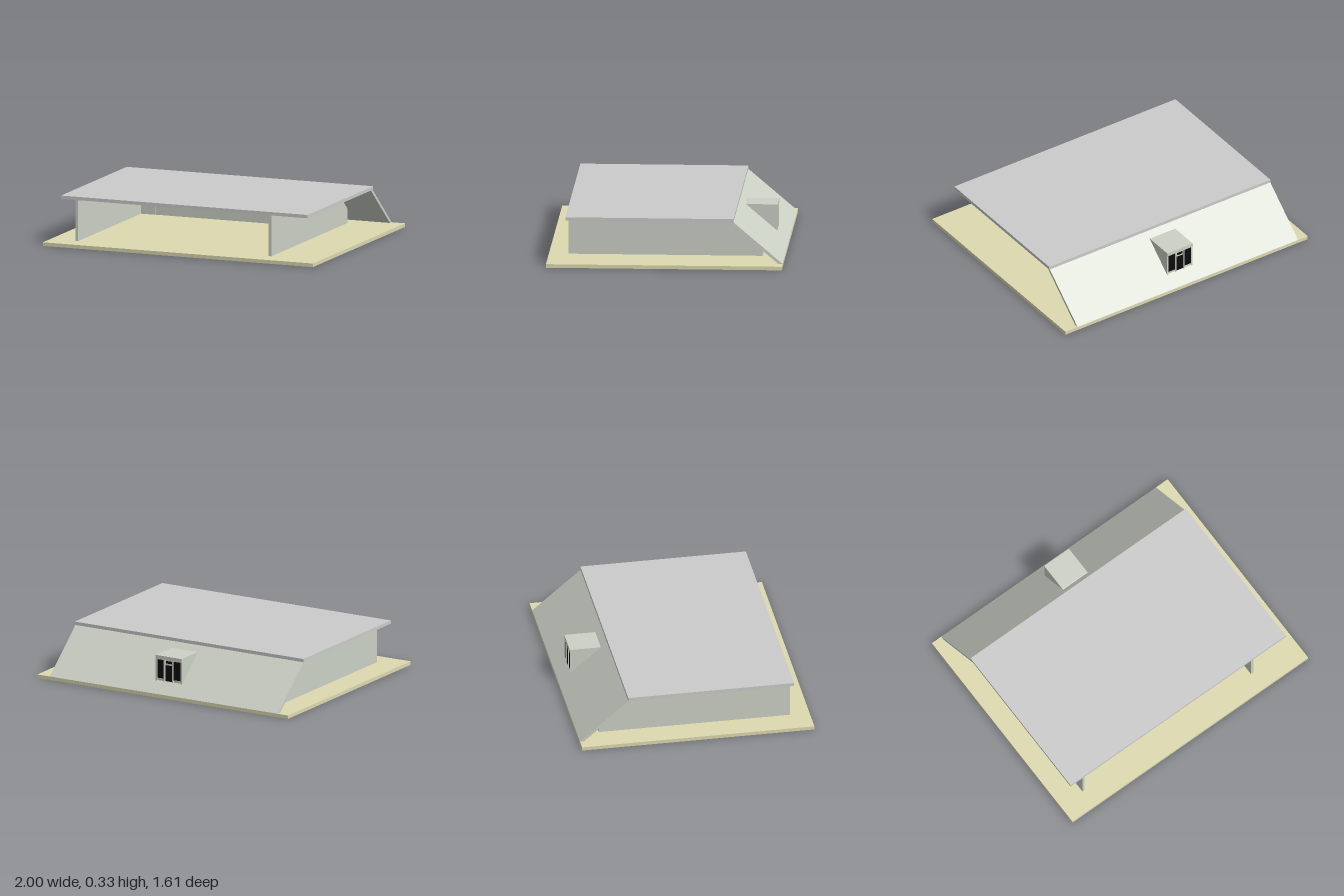
import * as THREE from 'three';

const mat = (color) => new THREE.MeshStandardMaterial({ color, flatShading: true });
const GREY = mat(0xcccccc);
const WALL = mat(0xccd1c6);
const GROUND = mat(0xdedab0);
const GLASS = mat(0x0c0c0c);

const FLOOR = 0.025, CEILING = 0.31;
// Height of the sloped slab's underside at depth z
const under = (z) => CEILING + 0.85 * (z + 0.44);

export function createModel() {
  const model = new THREE.Group();

  const add = (name, geometry, material) => {
    const mesh = new THREE.Mesh(geometry, material);
    mesh.name = name;
    model.add(mesh);
    return mesh;
  };

  // Box given by its extents
  const box = (name, material, x0, x1, y0, y1, z0, z1) =>
    add(name, new THREE.BoxGeometry(x1 - x0, y1 - y0, z1 - z0), material)
      .position.set((x0 + x1) / 2, (y0 + y1) / 2, (z0 + z1) / 2);

  // Side profile of [z, y] points, extruded from x0 to x1
  const prism = (name, material, x0, x1, profile) => {
    const shape = new THREE.Shape(profile.map(([z, y]) => new THREE.Vector2(-z, y)));
    const geometry = new THREE.ExtrudeGeometry(shape, { depth: x1 - x0, bevelEnabled: false });
    geometry.rotateY(Math.PI / 2).translate(x0, 0, 0);
    return add(name, geometry, material);
  };

  // Ground plate, flat roof and sloped rear slab
  box('groundPlate', GROUND, -1, 1, 0, FLOOR, -0.805, 0.805);
  box('flatRoof', GREY, -0.92, 0.905, CEILING, 0.333, -0.47, 0.677);
  prism('rearSlope', WALL, -0.92, 0.9, [
    [-0.44, CEILING], [-0.47, CEILING], [-0.805, FLOOR], [-0.775, FLOOR],
  ]);

  // Each side: long wall, short return behind it and inner wall below the slope
  const sides = [
    { name: 'left', outer: [0.615, 0.635], jog: [0.49, 0.635], inner: [0.49, 0.51] },
    { name: 'right', outer: [-0.815, -0.795], jog: [-0.815, -0.69], inner: [-0.71, -0.69] },
  ];
  for (const { name, outer, jog, inner } of sides) {
    prism(name + 'SideWall', WALL, ...outer, [
      [0.67, FLOOR], [0.67, CEILING], [-0.44, CEILING], [-0.63, under(-0.63)], [-0.63, FLOOR],
    ]);
    prism(name + 'ReturnWall', WALL, ...jog, [
      [-0.63, FLOOR], [-0.63, under(-0.63)], [-0.655, under(-0.655)], [-0.655, FLOOR],
    ]);
    prism(name + 'InnerWall', WALL, ...inner, [
      [-0.655, FLOOR], [-0.655, under(-0.655)], [-0.775, FLOOR],
    ]);
  }

  // Interior rear wall with a narrow panel at each end
  box('rearWall', WALL, -0.69, 0.49, FLOOR, CEILING, -0.44, -0.43);
  box('rightRearPanel', WALL, -0.795, -0.69, FLOOR, CEILING, -0.44, -0.425);
  box('leftRearPanel', WALL, 0.49, 0.615, FLOOR, CEILING, -0.44, -0.425);

  // Dormer rising from the slope
  prism('dormer', WALL, -0.105, 0.105, [
    [-0.72, 0.275], [-0.72, 0.08], [-0.5, 0.267], [-0.515, 0.275],
  ]);
  box('dormerFascia', WALL, -0.105, 0.105, 0.25, 0.275, -0.727, -0.72);

  // Glazed dormer front: two windows around a door with a transom
  for (const s of [-1, 1]) {
    box('dormerWindow', GLASS, s * 0.065 - 0.026, s * 0.065 + 0.026, 0.115, 0.245, -0.7225, -0.719);
    box('dormerPost', WALL, s * 0.034 - 0.004, s * 0.034 + 0.004, 0.095, 0.25, -0.727, -0.72);
    box('dormerCornerPost', WALL, s * 0.099 - 0.006, s * 0.099 + 0.006, 0.095, 0.25, -0.725, -0.72);
  }
  box('dormerDoor', GLASS, -0.027, 0.027, 0.1, 0.212, -0.7225, -0.719);
  box('doorTransom', GLASS, -0.022, 0.022, 0.225, 0.242, -0.7225, -0.719);

  return model;
}
